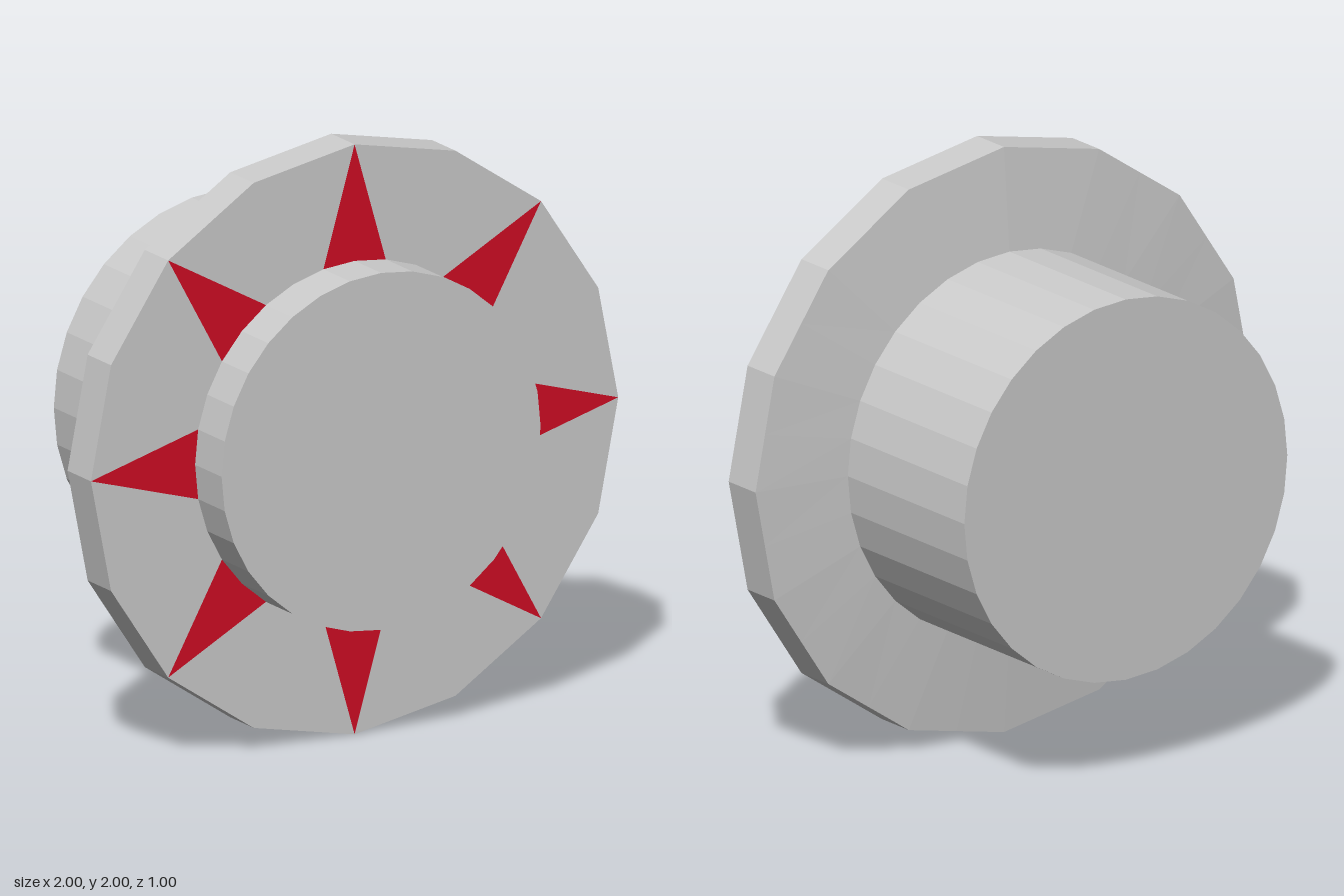
import * as THREE from 'three';

const SIDES = 32, HUB_FRONT = 0.605, HUB_BACK = 0.65;
const Z_FACE = 0.33, Z_RIM = 0.18, Z_ROOT = 0.15;
const STEP = (Math.PI * 2) / SIDES;

// Point on a circle, counted in 1/32 turns from +x
const polar = (r, i) => new THREE.Vector2(r * Math.cos(i * STEP), r * Math.sin(i * STEP));
// Rim outline: 16 corners, with every odd step at the middle of an edge
const rimPoint = (i) => polar(i % 2 ? Math.cos(STEP) : 1, i);
const hubPoint = (i) => polar(HUB_FRONT, i);

export function createModel() {
  const model = new THREE.Group();
  model.name = 'starFlangedKnob';
  const grey = new THREE.MeshStandardMaterial({ color: 0xcccccc, flatShading: true });
  const red = new THREE.MeshStandardMaterial({ color: 0xd00c24, flatShading: true });

  const add = (name, geometry, material = grey) => {
    const mesh = new THREE.Mesh(geometry, material);
    mesh.name = name;
    mesh.position.y = 1;
    model.add(mesh);
  };

  // Turned shells along z, from (radius, z) pairs
  const turned = (pairs, sides) =>
    new THREE.LatheGeometry(pairs.map(([r, z]) => new THREE.Vector2(r, z)), sides).rotateX(Math.PI / 2);

  add('rearHub', turned([[0, -0.5], [HUB_BACK, -0.5], [HUB_BACK, Z_ROOT]], SIDES));
  add('frontHub', turned([[HUB_FRONT, Z_FACE], [HUB_FRONT, 0.5], [0, 0.5]], SIDES));
  add('rimEdge', turned([[1, Z_RIM], [1, Z_FACE]], 16));

  // Shallow slope from the rear hub out to the rim corners
  const slope = [];
  const push = (p, z) => slope.push(p.x, p.y, z);
  for (let i = 0; i < SIDES; i++) {
    const a = polar(HUB_BACK, i), b = polar(HUB_BACK, i + 1);
    const c = rimPoint(i), d = rimPoint(i + 1);
    push(a, Z_ROOT); push(b, Z_ROOT); push(c, Z_RIM);
    push(b, Z_ROOT); push(d, Z_RIM); push(c, Z_RIM);
  }
  const slopeGeometry = new THREE.BufferGeometry();
  slopeGeometry.setAttribute('position', new THREE.Float32BufferAttribute(slope, 3));
  slopeGeometry.computeVertexNormals();
  add('rimBack', slopeGeometry);

  // Front face: eight red spikes alternating with eight grey panels
  const face = (points) =>
    new THREE.ShapeGeometry(new THREE.Shape(points)).translate(0, 0, Z_FACE);
  for (let i = 0; i < SIDES; i += 4) {
    add('spike', face([hubPoint(i - 1), rimPoint(i), hubPoint(i + 1), hubPoint(i)]), red);
    add('facePanel', face([
      hubPoint(i + 1), rimPoint(i), rimPoint(i + 2), rimPoint(i + 4), hubPoint(i + 3), hubPoint(i + 2),
    ]));
  }
  return model;
}
